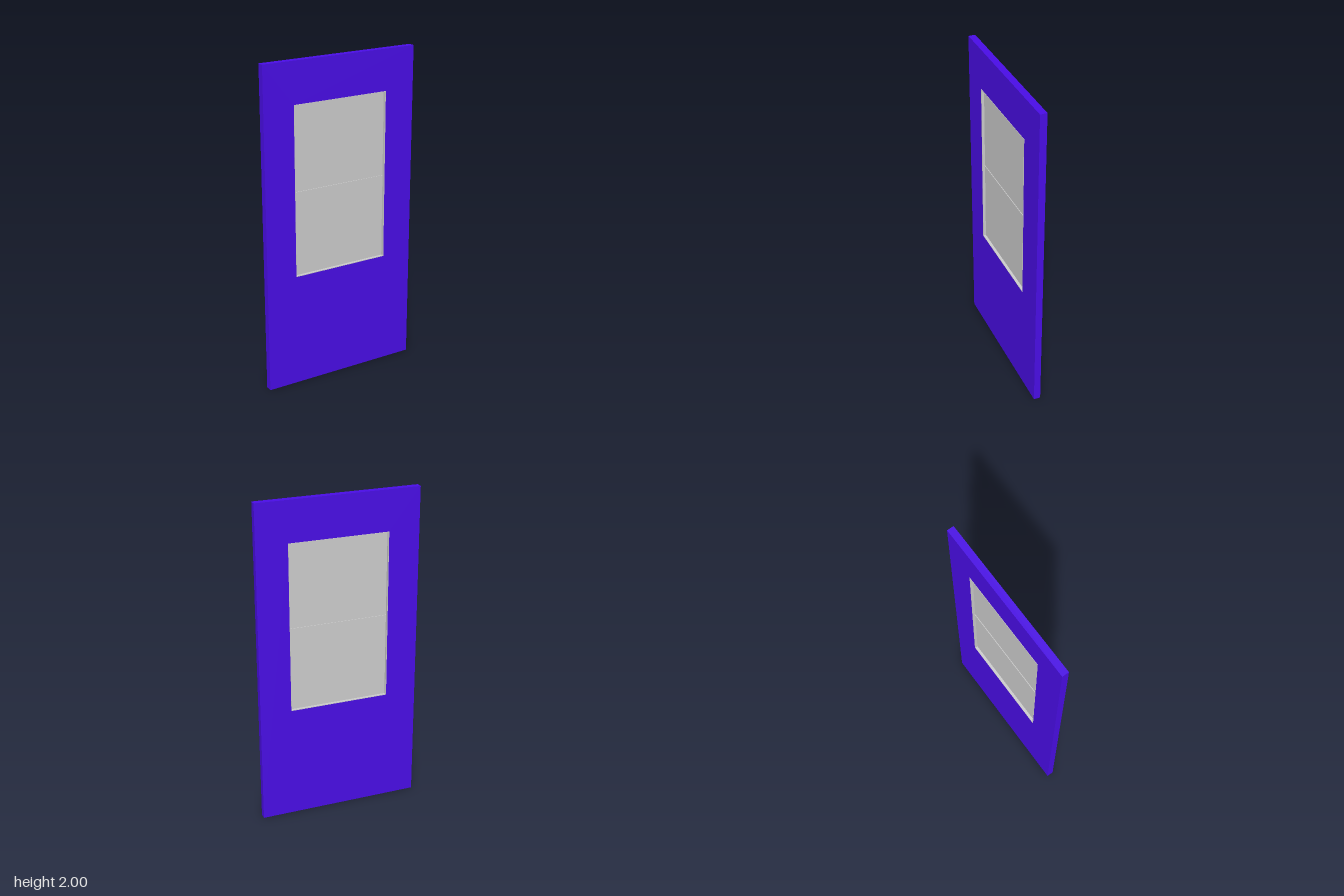
import * as THREE from 'three';

// Rectangular ring, extruded along z and centred on z = 0
function ring(outer, inner, depth, material, name) {
  const trace = (path, [x, y0, y1]) => {
    path.moveTo(-x, y0);
    path.lineTo(x, y0);
    path.lineTo(x, y1);
    path.lineTo(-x, y1);
    path.closePath();
    return path;
  };
  const shape = trace(new THREE.Shape(), outer);
  shape.holes.push(trace(new THREE.Path(), inner));
  const geometry = new THREE.ExtrudeGeometry(shape, { depth, bevelEnabled: false });
  geometry.translate(0, 0, -depth / 2);
  const mesh = new THREE.Mesh(geometry, material);
  mesh.name = name;
  return mesh;
}

export function createModel() {
  const group = new THREE.Group();
  group.name = 'door';
  const paint = new THREE.MeshStandardMaterial({ color: 0x490de5 });
  const grey = new THREE.MeshStandardMaterial({ color: 0xcccccc });

  const opening = [0.308, 0.705, 1.75];
  const inside = [0.304, 0.709, 1.746];

  // Door leaf with its window opening
  group.add(ring([0.5, 0, 2], opening, 0.042, paint, 'doorLeaf'));

  // Window lining, standing slightly proud on both faces
  group.add(ring(opening, inside, 0.046, grey, 'windowFrame'));

  // Lower and upper panes, set back in the lining
  const [halfWidth, bottom, top] = inside;
  const half = (top - bottom) / 2;
  ['lowerPane', 'upperPane'].forEach((name, i) => {
    const pane = new THREE.Mesh(new THREE.BoxGeometry(halfWidth * 2, half, 0.012), grey);
    pane.position.y = bottom + half * (i + 0.5);
    pane.name = name;
    group.add(pane);
  });

  // Thin rail where the panes meet
  const rail = new THREE.Mesh(new THREE.BoxGeometry(halfWidth * 2, 0.004, 0.02), grey);
  rail.position.y = bottom + half;
  rail.name = 'meetingRail';
  group.add(rail);

  return group;
}
